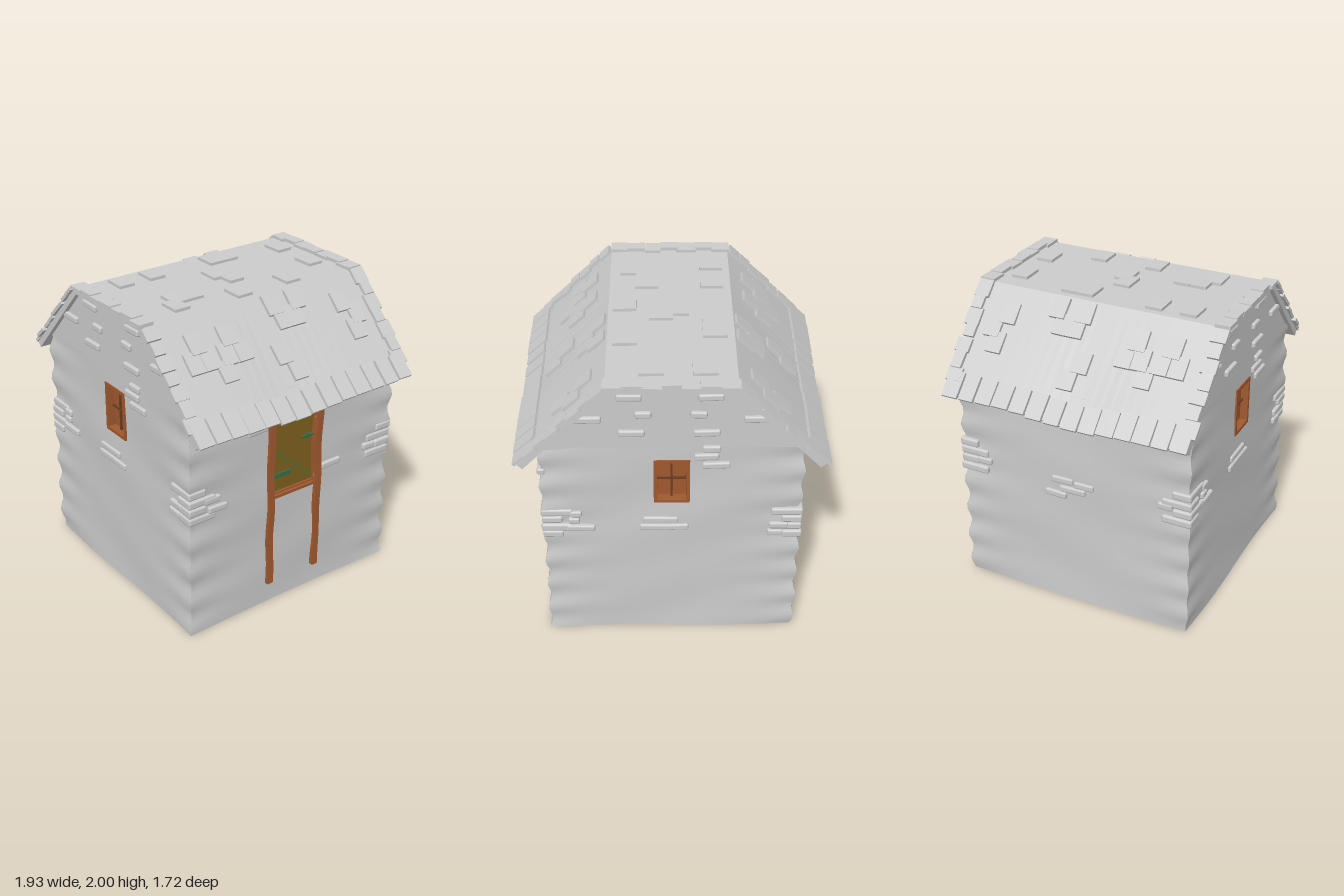
import * as THREE from 'three';
import { RoundedBoxGeometry } from 'three/addons/geometries/RoundedBoxGeometry.js';

const mat = (color, side = THREE.FrontSide) => new THREE.MeshStandardMaterial({ color, side });
const STONE = mat(0xcccccc);
const PLASTER = mat(0xcccccc, THREE.DoubleSide);
const WOOD = mat(0xa0592f);
const DARK = mat(0x6b3d20);
const OLIVE = mat(0x80601f);
const BRACE = mat(0x6b6826);
const IRON = mat(0x3c6b45);

let seed = 7;
const rnd = () => (seed = (seed * 16807) % 2147483647) / 2147483647;
const jitter = (a) => (rnd() - 0.5) * 2 * a;

function add(parent, name, geometry, material, x = 0, y = 0, z = 0) {
  const mesh = new THREE.Mesh(geometry, material);
  mesh.name = name;
  mesh.position.set(x, y, z);
  parent.add(mesh);
  return mesh;
}
const box = (parent, name, material, w, h, d, x, y, z) =>
  add(parent, name, new THREE.BoxGeometry(w, h, d), material, x, y, z);

// Move every vertex of a geometry by a rule
function warp(geo, rule) {
  const p = geo.attributes.position, v = new THREE.Vector3();
  for (let i = 0; i < p.count; i++) {
    rule(v.fromBufferAttribute(p, i));
    p.setXYZ(i, v.x, v.y, v.z);
  }
  geo.computeVertexNormals();
  return geo;
}

// Grid lines that pass exactly through the given stops
function lines(stops, step) {
  const out = [stops[0]];
  for (let i = 1; i < stops.length; i++) {
    const a = stops[i - 1], b = stops[i], n = Math.ceil((b - a) / step);
    for (let k = 1; k <= n; k++) out.push(a + ((b - a) * k) / n);
  }
  return out;
}

// Uneven plaster: ripples at the corners, soft bulges elsewhere
function bulge(v) {
  const corner = Math.pow(Math.abs(v.x * v.z) / 0.64, 4);
  const w = 0.013 * corner * Math.sin(30 * v.y + 2 * v.x - v.z)
    + 0.006 * Math.sin(5 * v.x + 9 * v.y) * Math.cos(4 * v.z + 3 * v.y);
  v.x *= 1 + w;
  v.z *= 1 + w;
}

// Wall panel with an optional rectangular opening, turned to its side
function wall(angle, hole) {
  const us = lines(hole ? [-0.8, -hole.w, hole.w, 0.8] : [-0.8, 0.8], 0.07);
  const vs = lines(hole ? [0, hole.y0, hole.y1, 1.52] : [0, 1.52], 0.045);
  const pos = [], idx = [], n = us.length;
  for (const v of vs) for (const u of us) pos.push(u, v, 0.8);
  for (let j = 0; j < vs.length - 1; j++) for (let i = 0; i < n - 1; i++) {
    const u = (us[i] + us[i + 1]) / 2, v = (vs[j] + vs[j + 1]) / 2;
    if (hole && Math.abs(u) < hole.w && v > hole.y0 && v < hole.y1) continue;
    const a = j * n + i;
    idx.push(a, a + 1, a + n + 1, a, a + n + 1, a + n);
  }
  const geo = new THREE.BufferGeometry();
  geo.setAttribute('position', new THREE.Float32BufferAttribute(pos, 3));
  geo.setIndex(idx);
  geo.rotateY(angle);
  return warp(geo, bulge);
}

function brick(parent, u, v, w, h = 0.045) {
  const b = add(parent, 'brick', new RoundedBoxGeometry(w, h, 0.05, 2, 0.012), STONE, u, v, 0.795);
  b.rotation.z = jitter(0.04);
}

// Roof outline and the sag along the eaves
const RIDGE = 0.39, TOP = 1.97, SLOPE = Math.atan2(0.56, 0.54);
const sag = (x, z) => 0.035 * Math.exp(-Math.pow((z - 0.06) / 0.25, 2)) * Math.max(0, (Math.abs(x) - 0.5) / 0.43);
const roofY = (x) => TOP - Math.max(0, Math.abs(x) - RIDGE) * Math.tan(SLOPE);

function tile(parent, x, z, along, across, lift = 0.005) {
  const t = box(parent, 'roofTile', STONE, along, 0.022, across, x, 0, z);
  const s = Math.abs(x) > RIDGE ? Math.sign(x) : 0;
  t.position.x += s * lift * Math.sin(SLOPE);
  t.position.y = roofY(x) - sag(x, z) + lift * (s ? Math.cos(SLOPE) : 1);
  t.rotation.set(0, jitter(0.02), s ? -s * (SLOPE - 0.05) : jitter(0.02));
}

function buildRoof(parent) {
  const roof = new THREE.Group();
  roof.name = 'roof';
  parent.add(roof);
  const shape = new THREE.Shape([[-0.93, 1.41], [-0.9, 1.38], [-0.375, 1.93], [0.375, 1.93], [0.9, 1.38],
    [0.93, 1.41], [RIDGE, TOP], [-RIDGE, TOP]].map(([x, y]) => new THREE.Vector2(x, y)));
  const slab = new THREE.ExtrudeGeometry(shape, { depth: 1.66, steps: 24, bevelEnabled: false });
  slab.translate(0, 0, -0.83);
  add(roof, 'roofSlab', warp(slab, (v) => { v.y -= sag(v.x, v.z); }), STONE);

  // Eave tiles and verge tiles
  for (const s of [-1, 1]) {
    for (let i = 0; i < 14; i++) tile(roof, s * 0.885, -0.78 + i * 0.12, 0.165 + jitter(0.012), 0.108 + jitter(0.008), 0.012);
    for (let i = 0; i < 7; i++) {
      const z = s * (0.805 + jitter(0.008));
      for (const m of [-1, 1]) tile(roof, m * (0.43 + i * 0.068), z, 0.1 + jitter(0.02), 0.1 - (i % 2) * 0.025, 0.009 + (i % 2) * 0.007);
      tile(roof, -0.34 + i * 0.113, z, 0.12 + jitter(0.02), 0.1 - (i % 2) * 0.02, 0.008 + (i % 2) * 0.007);
    }
  }
  // Loose tiles on the slopes (mirrored) and on the flat top
  const slopes = [[0.52, -0.57], [0.59, -0.65], [0.66, -0.6], [0.45, -0.25], [0.52, -0.2], [0.45, -0.07], [0.52, -0.1],
    [0.74, -0.05], [0.66, 0.01], [0.6, 0.27], [0.52, 0.33], [0.6, 0.38], [0.67, 0.43], [0.6, 0.51], [0.52, 0.56], [0.6, 0.62]];
  for (const [x, z] of slopes) for (const s of [-1, 1]) tile(roof, s * x, z, 0.14, 0.105, 0.007 + rnd() * 0.007);
  const flat = [[-0.2, -0.65], [0.12, -0.65], [0.28, -0.33], [-0.27, -0.25], [-0.27, -0.14], [0.06, -0.05], [-0.04, 0],
    [0.29, 0.06], [-0.27, 0.33], [0.15, 0.33], [0.15, 0.44], [0.25, 0.5], [-0.27, 0.56]];
  for (const [x, z] of flat) tile(roof, x, z, 0.15, 0.11, 0.008);
}

// Gable, window and bricks, the same at front and back
function buildEnd(parent, name, angle) {
  const end = new THREE.Group();
  end.name = name;
  end.rotation.y = angle;
  parent.add(end);
  const shape = new THREE.Shape([[-0.8, 1.5], [0.8, 1.5], [0.8, 1.52], [0.385, 1.95], [-0.385, 1.95], [-0.8, 1.52]]
    .map(([x, y]) => new THREE.Vector2(x, y)));
  add(end, 'gable', new THREE.ExtrudeGeometry(shape, { depth: 0.03, bevelEnabled: false }), STONE, 0, 0, 0.768);

  const win = new THREE.Group();
  win.name = 'window';
  end.add(win);
  box(win, 'windowPane', WOOD, 0.22, 0.33, 0.02, 0, 1.255, 0.74);
  for (const s of [-1, 1]) {
    box(win, 'windowJamb', WOOD, 0.022, 0.33, 0.08, s * 0.1, 1.255, 0.768);
    box(win, 'windowRail', WOOD, 0.22, 0.022, 0.08, 0, 1.255 + s * 0.155, 0.768);
    box(win, 'windowLeaf', WOOD, 0.075, 0.27, 0.02, s * 0.044, 1.255, 0.75);
  }
  box(win, 'windowMullion', DARK, 0.012, 0.3, 0.04, 0, 1.255, 0.752);
  box(win, 'windowTransom', DARK, 0.2, 0.012, 0.04, 0, 1.255, 0.752);

  const bricks = [[-0.25, 1.89, 0.15], [0.23, 1.89, 0.15], [-0.17, 1.765, 0.1], [0.16, 1.765, 0.1], [-0.24, 1.63, 0.16],
    [0.21, 1.63, 0.16], [-0.5, 1.73, 0.17], [0.52, 1.73, 0.19], [0.24, 1.51, 0.11], [0.21, 1.45, 0.15], [0.27, 1.385, 0.17],
    [-0.07, 0.95, 0.22], [-0.12, 0.89, 0.16], [0.02, 0.89, 0.17], [-0.6, 1.0, 0.08], [-0.61, 0.945, 0.07], [-0.57, 0.885, 0.18],
    [0.65, 0.84, 0.1], [0.67, 0.9, 0.12]];
  for (const b of bricks) brick(end, ...b);
}

// Door on the +x side, with frame and ironwork
function buildDoor(parent) {
  const door = new THREE.Group();
  door.name = 'door';
  parent.add(door);
  box(door, 'doorLeaf', OLIVE, 0.03, 0.64, 0.35, 0.755, 1.1, 0);
  box(door, 'doorSill', WOOD, 0.06, 0.02, 0.34, 0.775, 0.775, 0);
  const brace = box(door, 'doorBrace', BRACE, 0.015, 0.035, 0.45, 0.773, 0.97, 0);
  brace.rotation.x = -0.72;
  for (const y of [0.91, 1.3]) box(door, 'hinge', IRON, 0.012, 0.032, 0.16, 0.778, y, 0.085);
  box(door, 'latchBar', IRON, 0.015, 0.014, 0.1, 0.78, 1.125, -0.125);
  box(door, 'latchPlate', IRON, 0.02, 0.035, 0.014, 0.78, 1.125, -0.12);
  for (const s of [-1, 1]) {
    const post = new THREE.BoxGeometry(0.05, 1.27, 0.044, 1, 16, 1).translate(0.798, 0.785, s * 0.19);
    add(door, 'doorPost', warp(post, (v) => { v.z += 0.004 * Math.sin(14 * v.y + s); v.x += 0.003 * Math.sin(11 * v.y); }), WOOD);
  }
  box(door, 'doorLintel', WOOD, 0.075, 0.05, 0.47, 0.805, 1.425, 0);
}

export function createModel() {
  const model = new THREE.Group();
  model.name = 'stoneHut';

  const windowHole = { w: 0.11, y0: 1.09, y1: 1.42 };
  add(model, 'frontWall', wall(0, windowHole), PLASTER);
  add(model, 'backWall', wall(Math.PI, windowHole), PLASTER);
  add(model, 'rightWall', wall(Math.PI / 2, { w: 0.17, y0: 0.78, y1: 1.4 }), PLASTER);
  add(model, 'leftWall', wall(-Math.PI / 2), PLASTER);
  buildEnd(model, 'frontEnd', 0);
  buildEnd(model, 'backEnd', Math.PI);
  buildDoor(model);
  buildRoof(model);

  // Loose bricks on the long sides
  const sides = [[Math.PI / 2, [[-0.3, 1.3, 0.16], [0.3, 0.88, 0.16], [0.74, 1.33, 0.12], [0.63, 0.9, 0.1], [-0.64, 0.94, 0.12], [-0.6, 0.87, 0.14]]],
    [-Math.PI / 2, [[-0.07, 0.91, 0.15], [0.08, 0.9, 0.14], [0, 0.85, 0.18], [-0.12, 0.8, 0.15], [0.64, 0.92, 0.1], [-0.64, 0.9, 0.1]]]];
  for (const [angle, list] of sides) {
    const side = new THREE.Group();
    side.name = 'sideBricks';
    side.rotation.y = angle;
    model.add(side);
    for (const b of list) brick(side, ...b);
  }
  // Corner stones, alternating long and short
  for (const sx of [-1, 1]) for (const sz of [-1, 1]) for (let i = 0; i < 4; i++) {
    const a = i % 2 ? 0.2 : 0.13, b = i % 2 ? 0.13 : 0.2, out = 0.815 + jitter(0.006);
    add(model, 'cornerStone', new RoundedBoxGeometry(a, 0.052, b, 2, 0.014), STONE,
      sx * (out - a / 2), 0.83 + i * 0.06, sz * (out - b / 2));
  }

  // Raised floor, the posts under it and the hearth frame
  box(model, 'floor', WOOD, 1.57, 0.03, 1.57, 0, 0.78, 0);
  for (const s of [-1, 1]) box(model, 'innerPost', DARK, 0.13, 0.76, 0.1, 0.725, 0.385, s * 0.27);
  box(model, 'innerPanel', OLIVE, 0.02, 0.6, 0.46, 0.75, 0.46, 0);
  const hearth = new THREE.Group();
  hearth.name = 'hearth';
  hearth.position.set(-0.5, 0.745, 0.46);
  model.add(hearth);
  for (const s of [-1, 1]) {
    box(hearth, 'hearthStone', STONE, 0.3, 0.04, 0.05, 0, 0, s * 0.11);
    box(hearth, 'hearthStone', STONE, 0.05, 0.04, 0.3, s * 0.11, -0.025, 0);
  }
  box(hearth, 'hearthCore', STONE, 0.08, 0.05, 0.08, 0, 0, 0);
  return model;
}
